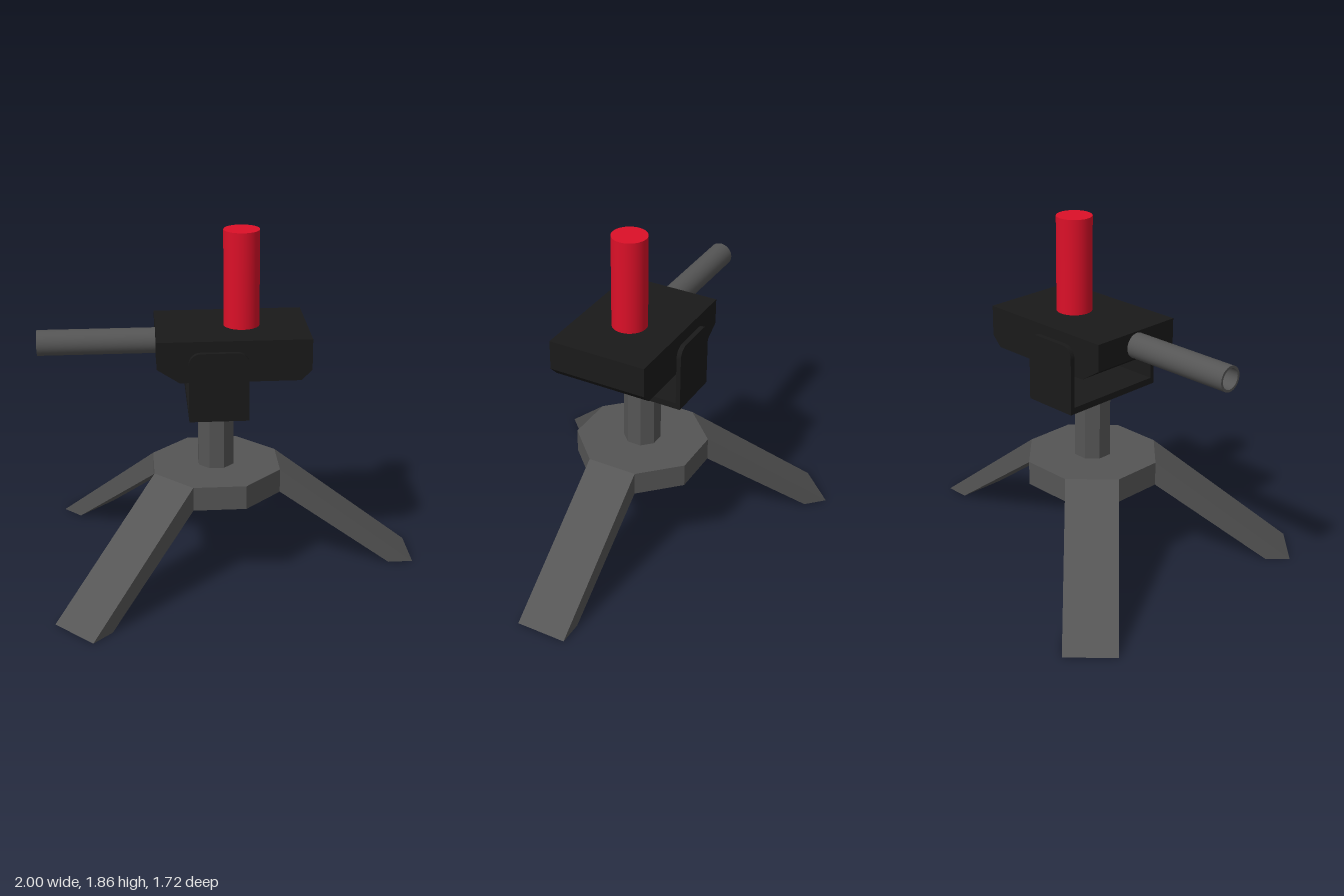
import * as THREE from 'three';

const AXIS = -0.077; // x of the tripod's vertical axis
const APOTHEM = 0.334;

const material = (color) => new THREE.MeshStandardMaterial({ color, side: THREE.DoubleSide });
const flat = (color) => new THREE.MeshStandardMaterial({ color, flatShading: true });

// Extrude an x-y outline, centred on z = 0
function slab(shape, depth) {
  const geo = new THREE.ExtrudeGeometry(shape, { depth, bevelEnabled: false, curveSegments: 6 });
  return geo.translate(0, 0, -depth / 2);
}

const outline = (points) => new THREE.Shape(points.map(([x, y]) => new THREE.Vector2(x, y)));

// Octagonal prism with flat sides facing the axes
function octagon(apothem, y0, y1) {
  const r = apothem / Math.cos(Math.PI / 8);
  return new THREE.CylinderGeometry(r, r, y1 - y0, 8)
    .rotateY(Math.PI / 8)
    .translate(0, (y0 + y1) / 2, 0);
}

export function createModel() {
  const model = new THREE.Group();
  const add = (name, geo, mat, x = 0, y = 0, z = 0, parent = model) => {
    const mesh = new THREE.Mesh(geo, mat);
    mesh.name = name;
    mesh.position.set(x, y, z);
    parent.add(mesh);
    return mesh;
  };
  const grey = flat(0x555555);
  const black = flat(0x1a1a1a);

  // Tripod: hub, three splayed legs and post
  const tripod = new THREE.Group();
  tripod.name = 'tripod';
  tripod.position.x = AXIS;
  model.add(tripod);
  add('hub', octagon(APOTHEM, 0.45, 0.58), grey, 0, 0, 0, tripod);
  add('post', octagon(0.093, 0.58, 0.94), grey, 0, 0, 0, tripod);
  const legGeo = slab(outline([[APOTHEM, 0.45], [0.943, 0], [1.077, 0], [APOTHEM, 0.58]]), 0.276);
  for (const angle of [0, 0.75, 1.25]) {
    add('leg', legGeo, grey, 0, 0, 0, tripod).rotation.y = angle * Math.PI;
  }

  // U-shaped bracket with rounded cheek tops
  const bracket = new THREE.Group();
  bracket.name = 'bracket';
  bracket.position.x = AXIS;
  model.add(bracket);
  const w = 0.153, top = 1.3, r = 0.06;
  add('bracketBase', new THREE.BoxGeometry(2 * w, 0.035, 0.56), black, 0, 0.9525, 0, bracket);
  const cheek = new THREE.Shape();
  cheek.moveTo(-w, 0.935);
  cheek.lineTo(w, 0.935);
  cheek.lineTo(w, top - r);
  cheek.absarc(w - r, top - r, r, 0, Math.PI / 2);
  cheek.absarc(-w + r, top - r, r, Math.PI / 2, Math.PI);
  cheek.closePath();
  const cheekGeo = slab(cheek, 0.025);
  for (const side of [-1, 1]) add('bracketCheek', cheekGeo, black, 0, 0, side * 0.2925, bracket);

  // Head block with chamfered lower edges
  const head = outline([
    [-0.39, 1.21], [-0.275, 1.135], [0.345, 1.135], [0.4, 1.19], [0.4, 1.353], [-0.39, 1.353],
  ]);
  add('head', slab(head, 0.54), black);

  // Hollow handle tube pointing to -x
  const tube = [[0.067, 0], [0.067, 0.61], [0.067, 0.61], [0.054, 0.61], [0.054, 0.61], [0.054, 0]];
  const handleGeo = new THREE.LatheGeometry(tube.map(([x, y]) => new THREE.Vector2(x, y)), 32);
  add('handle', handleGeo.rotateZ(Math.PI / 2), material(0x555555), -0.39, 1.278, 0);

  // Upright red cylinder
  add('redCylinder', new THREE.CylinderGeometry(0.094, 0.094, 0.507, 32), material(0xdc1028), 0.06, 1.6065, 0);

  return model;
}
